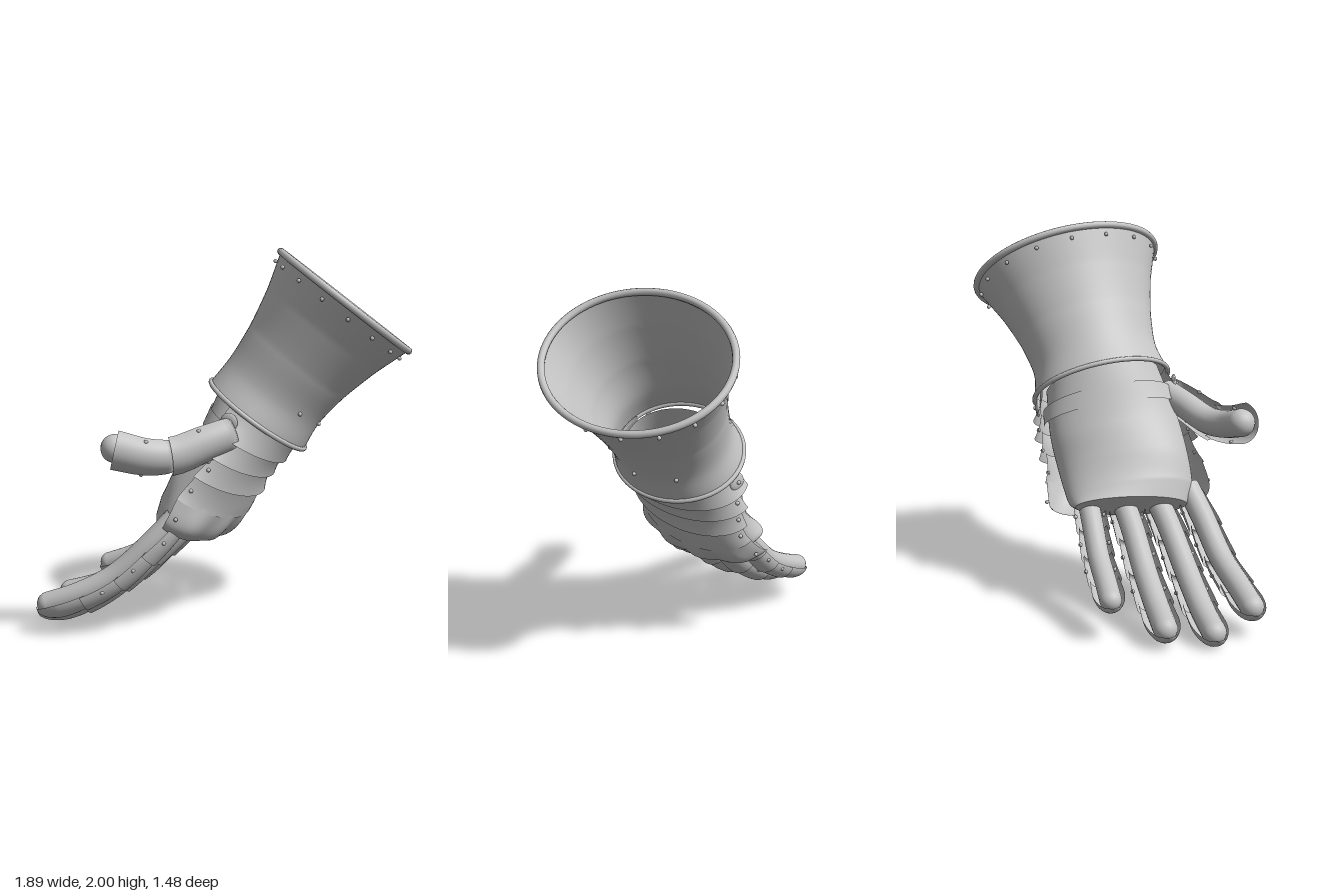
import * as THREE from 'three';
import { ParametricGeometry } from 'three/addons/geometries/ParametricGeometry.js';

const steel = new THREE.MeshStandardMaterial({ color: 0xc4c4c4, side: THREE.DoubleSide });
steel.name = 'steel';

const V = (a) => new THREE.Vector3(...a);
const lerp = THREE.MathUtils.lerp;

// Smooth section along stations [centre, dorsal half axis, side half axis]
function sections(stations) {
  const curves = [0, 1, 2].map((i) => new THREE.CatmullRomCurve3(stations.map((s) => V(s[i]))));
  return (t) => curves.map((c) => c.getPoint(THREE.MathUtils.clamp(t, 0, 1)));
}

// Point on a section at an angle measured from the dorsal side
function ring(sec, t, angle, scale = 1, target = new THREE.Vector3()) {
  const [c, u, v] = sec(t);
  return target.copy(c).addScaledVector(u, Math.cos(angle) * scale).addScaledVector(v, Math.sin(angle) * scale);
}

// Curved sheet between two stations and two angles
function sheet(sec, t0, t1, a0, a1, scale, nu = 40, nv = 10) {
  return new ParametricGeometry((p, q, out) => {
    const a = lerp(a0, a1, p);
    ring(sec, lerp(t0, t1, q), a, scale(q, a), out);
  }, nu, nv);
}

export function createModel() {
  const model = new THREE.Group();
  model.name = 'gauntlet';
  const add = (name, geometry, parent = model) => {
    const m = new THREE.Mesh(geometry, steel);
    m.name = name;
    parent.add(m);
    return m;
  };
  const rivetGeo = new THREE.SphereGeometry(0.011, 10, 8);
  const rivet = (p, parent = model) => add('rivet', rivetGeo, parent).position.copy(p);

  // Flared cuff
  const cuffSec = sections([
    [[0.15, 1.13, -0.04], [0.25, -0.172, 0], [0.05, 0.06, 0.365]],
    [[0.23, 1.255, -0.07], [0.238, -0.17, 0], [0.05, 0.06, 0.335]],
    [[0.335, 1.405, -0.11], [0.25, -0.185, 0], [0.06, 0.065, 0.36]],
    [[0.455, 1.57, -0.16], [0.29, -0.21, 0], [0.07, 0.075, 0.42]],
    [[0.57, 1.73, -0.21], [0.345, -0.245, 0], [0.085, 0.09, 0.503]],
  ]);
  add('cuff', sheet(cuffSec, 0, 1, 0, Math.PI * 2, () => 1, 72, 24));
  for (const [t, r, name] of [[0, 0.013, 'cuffLowerRim'], [1, 0.019, 'cuffUpperRim']]) {
    const pts = Array.from({ length: 32 }, (_, i) => ring(cuffSec, t, (i / 32) * Math.PI * 2));
    add(name, new THREE.TubeGeometry(new THREE.CatmullRomCurve3(pts, true), 96, r, 10, true));
  }
  for (let i = 0; i < 16; i++) rivet(ring(cuffSec, 0.93, (i / 16) * Math.PI * 2, 1.028));
  for (let i = -1; i <= 1; i++) rivet(ring(cuffSec, 0.27, i * 0.7, 1.02));

  // Gloved hand inside the plates
  const handSec = sections([
    [[0.165, 1.15, -0.035], [0.225, -0.155, 0], [0.05, 0.06, 0.355]],
    [[0.03, 0.92, 0.02], [0.18, -0.115, 0], [0.03, 0.05, 0.4]],
    [[-0.07, 0.75, 0.06], [0.17, -0.12, 0], [0.0, 0.05, 0.4]],
    [[-0.18, 0.61, 0.09], [0.14, -0.12, 0], [0.035, 0.035, 0.385]],
    [[-0.27, 0.56, 0.09], [0.09, -0.08, 0], [0.055, -0.015, 0.34]],
  ]);
  const palmScale = (q, a) => lerp(0.9, 0.82, 0.5 + 0.5 * Math.cos(a));
  add('palm', sheet(handSec, 0, 0.98, 0, Math.PI * 2, palmScale, 60, 24));
  add('palmEnd', new ParametricGeometry((p, q, out) => {
    const a = p * Math.PI * 2;
    ring(handSec, 0.98, a, palmScale(0, a) * (1 - q), out);
  }, 60, 4));
  add('wristStrap', sheet(handSec, 0.1, 0.18, 1.5, Math.PI * 2 - 1.5, () => 0.925, 40, 2));

  // Overlapping plates over the back of the hand, each flaring over the next
  const bands = [[0.0, 0.14, 1.85], [0.1, 0.24, 1.6], [0.2, 0.38, 1.5], [0.34, 0.56, 1.5]];
  bands.forEach(([t0, t1, a], i) => {
    add('handPlate' + (i + 1), sheet(handSec, t0, t1, -a, a, (q) => lerp(0.96, 1.07, q * q)));
    for (const s of [-1, 1]) rivet(ring(handSec, lerp(t0, t1, 0.6), s * a * 0.9, 1.01));
  });

  // Knuckle plate with four swells
  add('knucklePlate', sheet(handSec, 0.53, 0.85, -1.5, 1.5, (q, a) =>
    1.04 + 0.11 * Math.sin(q * 2.2) + 0.04 * Math.sin(q * Math.PI) * Math.cos(Math.sin(a) * Math.PI * 4 + Math.PI), 72, 14));
  for (const s of [-1, 1]) rivet(ring(handSec, 0.68, s * 1.3, 1.15));

  // Hinges joining the cuff to the hand on both sides
  for (const s of [-1, 1]) {
    const h = new THREE.Group();
    h.name = s > 0 ? 'thumbHinge' : 'outerHinge';
    const disc = add('hingeDisc', new THREE.SphereGeometry(0.048, 20, 12), h);
    disc.scale.set(1, 1, 0.3);
    rivet(new THREE.Vector3(0, 0, s * 0.016), h);
    h.position.copy(ring(handSec, 0.08, s * 1.65, 1.0));
    model.add(h);
  }

  // Digit: a padded tube with half shell plates on its outer side
  function digit(name, path, dorsal, r, plateR, cuts, spread, domed) {
    const g = new THREE.Group();
    g.name = name;
    model.add(g);
    const curve = new THREE.CatmullRomCurve3(path.map(V));
    add('padding', new THREE.TubeGeometry(curve, 32, r, 18), g);
    add('paddingTip', new THREE.SphereGeometry(r, 18, 14), g).position.copy(curve.getPoint(1));
    const sec = (t) => {
      const c = curve.getPointAt(Math.min(t, 1));
      const tan = curve.getTangentAt(Math.min(t, 1));
      if (t > 1) c.addScaledVector(tan, (t - 1) * curve.getLength());
      const u = V(dorsal).addScaledVector(tan, -V(dorsal).dot(tan)).normalize();
      const v = tan.clone().cross(u).normalize();
      return [c, u.multiplyScalar(plateR), v.multiplyScalar(plateR)];
    };
    for (let i = 0; i + 1 < cuts.length; i++) {
      const t0 = Math.max(0, cuts[i] - 0.03), t1 = cuts[i + 1];
      add('plate' + (i + 1), sheet(sec, t0, t1, -spread, spread, (q) => lerp(0.84, 1.04, Math.sqrt(q)), 24, 8), g);
      for (const s of [-1, 1]) rivet(ring(sec, lerp(t0, t1, 0.5), s * spread * 0.8, 0.96), g);
    }
    // rounded end plate
    if (domed) {
      const from = cuts[cuts.length - 1] - 0.03;
      const end = 1 + (plateR * 0.8) / curve.getLength();
      add('tipPlate', sheet(sec, from, end, -spread, spread,
        (q) => (0.88 + 0.12 * Math.min(1, q * 2)) * Math.sqrt(Math.max(0, 1 - Math.pow(q, 4))), 24, 16), g);
    }
  }

  const fingers = {
    indexFinger: [[-0.13, 0.63, 0.4], [-0.24, 0.5, 0.465], [-0.42, 0.325, 0.54], [-0.6, 0.225, 0.61], [-0.75, 0.17, 0.65]],
    middleFinger: [[-0.14, 0.6, 0.22], [-0.28, 0.46, 0.285], [-0.5, 0.26, 0.36], [-0.7, 0.14, 0.41], [-0.87, 0.085, 0.445]],
    ringFinger: [[-0.16, 0.6, 0.04], [-0.3, 0.46, 0.09], [-0.5, 0.28, 0.14], [-0.7, 0.165, 0.18], [-0.87, 0.11, 0.205]],
    littleFinger: [[-0.2, 0.61, -0.14], [-0.32, 0.5, -0.12], [-0.48, 0.355, -0.095], [-0.63, 0.275, -0.07], [-0.76, 0.225, -0.055]],
  };
  for (const [name, path] of Object.entries(fingers)) {
    const small = name === 'littleFinger';
    digit(name, path, [0.1, -1, 0], small ? 0.056 : 0.062, small ? 0.085 : 0.094,
      [0.04, 0.3, 0.53, 0.77], 1.5, true);
  }

  digit('thumb', [[0.15, 1.09, 0.31], [0.03, 1.04, 0.405], [-0.1, 0.985, 0.505], [-0.21, 0.985, 0.58], [-0.35, 1.02, 0.645]],
    [0.55, -0.22, 0.8], 0.073, 0.105, [0.03, 0.56, 1.0], 1.35, false);

  // Stand on the ground, centred
  const box = new THREE.Box3().setFromObject(model, true);
  const mid = box.getCenter(new THREE.Vector3());
  model.position.set(-mid.x, -box.min.y, -mid.z);
  return model;
}
